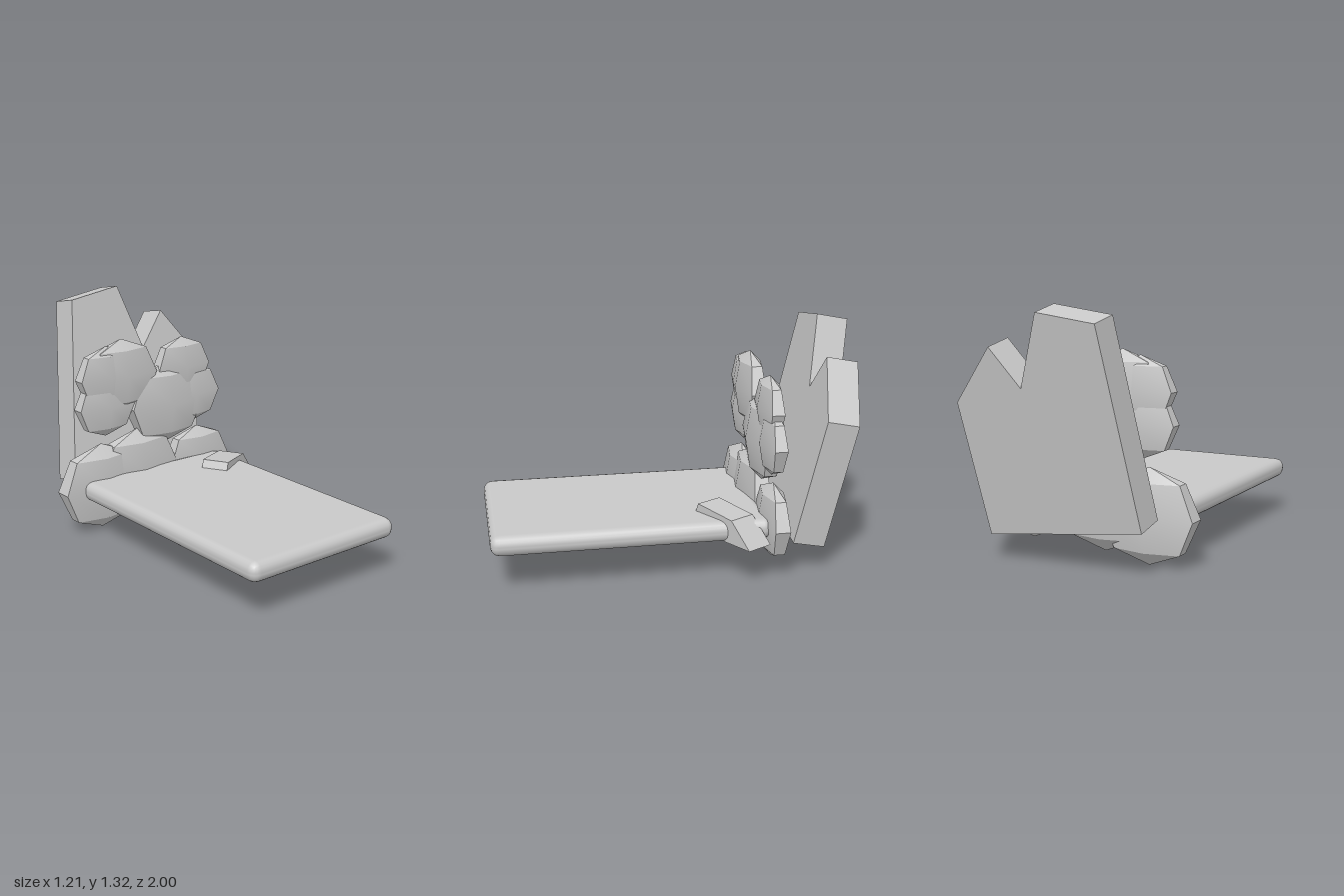
import * as THREE from 'three';
import { toCreasedNormals } from 'three/addons/utils/BufferGeometryUtils.js';
import { RoundedBoxGeometry } from 'three/addons/geometries/RoundedBoxGeometry.js';

const stone = new THREE.MeshStandardMaterial({ color: 0xc8c8c8 });
stone.name = 'grey stone';

function addMesh(parent, name, geometry) {
  const mesh = new THREE.Mesh(geometry, stone);
  mesh.name = name;
  parent.add(mesh);
  return mesh;
}

// Six-sided boulder, widened in x and flattened in z
function boulderGeometry(r) {
  const g = new THREE.SphereGeometry(r, 6, 4);
  g.rotateY(Math.PI / 6);
  g.scale(1.2, 1, 0.4);
  return toCreasedNormals(g, 0.55);
}

// Closed outline pushed out to a flat thickness
function plate(points, depth) {
  const shape = new THREE.Shape(points.map(([x, y]) => new THREE.Vector2(x, y)));
  return new THREE.ExtrudeGeometry(shape, { depth, bevelEnabled: false });
}

export function createModel() {
  const model = new THREE.Group();
  model.name = 'stoneSeat';

  // Long flat slab with rounded edges
  addMesh(model, 'baseSlab', new RoundedBoxGeometry(0.97, 0.11, 1.48, 2, 0.05))
    .position.set(-0.02, 0.265, 0.26);

  // Wall of boulders: x, y, radius
  const boulders = new THREE.Group();
  boulders.name = 'boulders';
  [
    [-0.35, 0.255, 0.25], [-0.1, 0.298, 0.25], [0.335, 0.277, 0.207],
    [-0.2, 0.88, 0.21], [-0.3, 0.885, 0.178], [-0.315, 0.72, 0.175],
    [0.225, 0.87, 0.175], [0.1, 0.67, 0.242], [0.295, 0.695, 0.178],
  ].forEach(([x, y, r], i) => {
    addMesh(boulders, `boulder${i + 1}`, boulderGeometry(r)).position.set(x, y, -0.505);
  });
  model.add(boulders);

  // Leaning back slab with a notched top
  const tilt = 0.192;
  const outline = [
    [-0.455, 0.27], [0.422, 0.165], [0.52, 0.855], [0.29, 1.145],
    [0.13, 0.947], [0, 1.32], [-0.315, 1.275],
  ].map(([x, y]) => [x, (y - 0.165) / Math.cos(tilt)]);
  const backGeometry = plate(outline, 0.175);
  backGeometry.translate(0, 0, -0.175);
  const back = addMesh(model, 'backSlab', backGeometry);
  back.rotation.x = -tilt;
  back.position.set(0, 0.165, -0.6);

  // Sloping wedge lying across the slab's left edge
  const wedge = plate([
    [0, 0.3], [0.2, 0.215], [0.25, 0.21], [0.42, 0.21], [0.283, 0.34], [0.025, 0.365],
  ], 0.154);
  wedge.translate(0, 0, -0.154);
  const sideWedge = addMesh(model, 'sideWedge', wedge);
  sideWedge.rotation.y = Math.PI / 6;
  sideWedge.position.set(0.24, 0, -0.1);

  return model;
}
